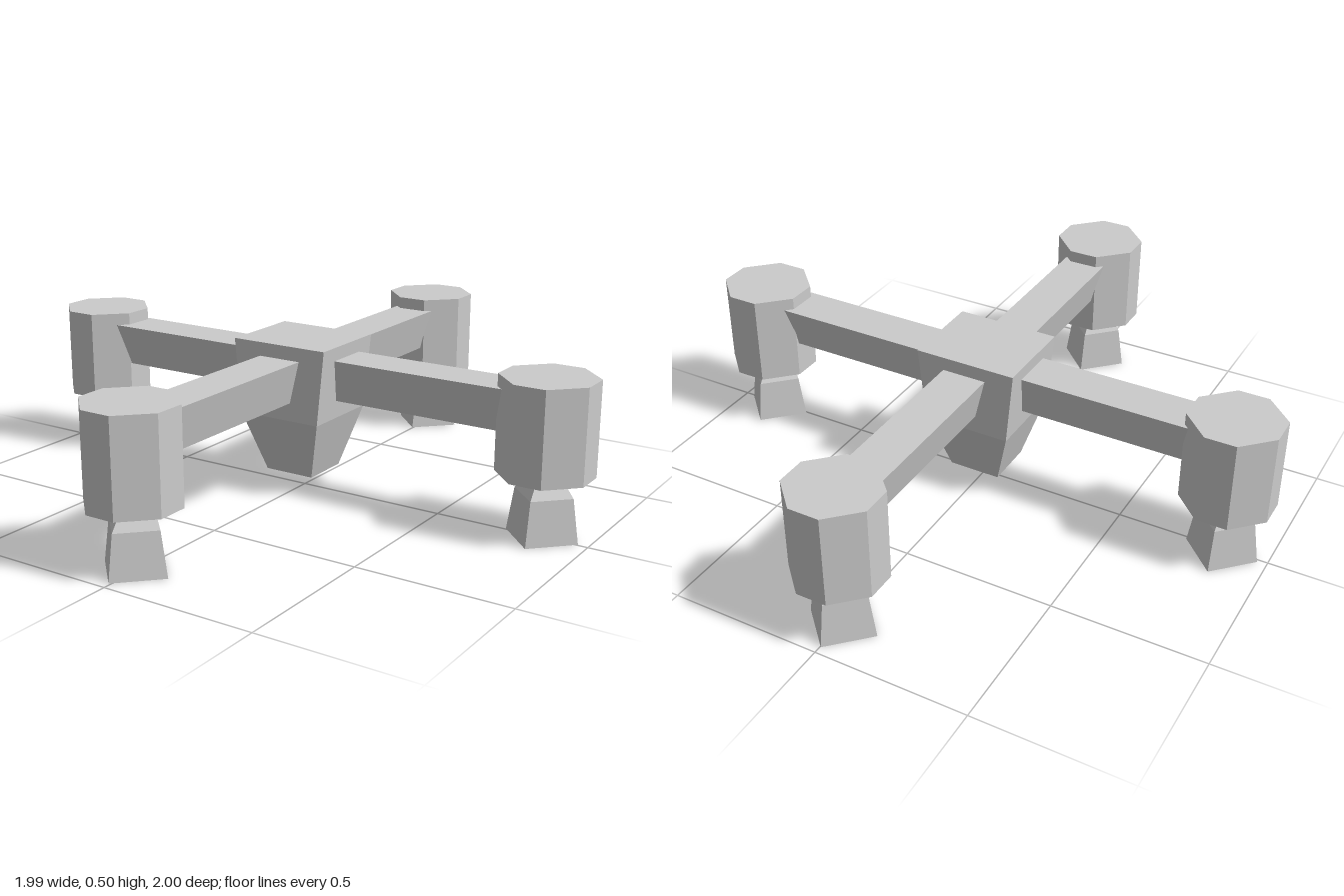
import * as THREE from 'three';

const material = new THREE.MeshStandardMaterial({ color: 0xcccccc, flatShading: true });

// Closed solid from [y, corners] sections, bottom to top; corners are [x, z]
// listed clockwise as seen from above (+x towards +z).
function loft(sections) {
  const pos = [];
  const at = (s, i) => {
    const ring = s[1];
    const [x, z] = ring[i % ring.length];
    return [x, s[0], z];
  };
  const n = sections[0][1].length;
  for (let k = 0; k + 1 < sections.length; k++) {
    for (let i = 0; i < n; i++) {
      const a = at(sections[k], i), b = at(sections[k], i + 1);
      const c = at(sections[k + 1], i + 1), d = at(sections[k + 1], i);
      pos.push(...a, ...d, ...c, ...a, ...c, ...b);
    }
  }
  const bottom = sections[0], top = sections[sections.length - 1];
  for (let i = 1; i + 1 < n; i++) {
    pos.push(...at(bottom, 0), ...at(bottom, i), ...at(bottom, i + 1));
    pos.push(...at(top, 0), ...at(top, i + 1), ...at(top, i));
  }
  const g = new THREE.BufferGeometry();
  g.setAttribute('position', new THREE.Float32BufferAttribute(pos, 3));
  g.computeVertexNormals();
  return g;
}

const rect = (x0, x1, z0, z1) => [[x0, z0], [x1, z0], [x1, z1], [x0, z1]];
const diamond = (r) => [[r, 0], [0, r], [-r, 0], [0, -r]];
const octagon = (r, f) => [
  [r, -f], [r, f], [f, r], [-f, r], [-r, f], [-r, -f], [-f, -r], [f, -r],
];

function add(parent, name, geometry) {
  const mesh = new THREE.Mesh(geometry, material);
  mesh.name = name;
  parent.add(mesh);
  return mesh;
}

export function createModel() {
  const model = new THREE.Group();
  model.name = 'crossFrame';

  // Central hub, tapering to a small base
  add(model, 'hub', loft([
    [0.06, rect(-0.095, 0.078, -0.085, 0.08)],
    [0.26, rect(-0.155, 0.137, -0.143, 0.14)],
    [0.505, rect(-0.178, 0.162, -0.145, 0.14)],
  ]));

  // Arm bar, narrower at its underside
  const profile = new THREE.Shape([
    new THREE.Vector2(-0.04, 0.32), new THREE.Vector2(0.04, 0.32),
    new THREE.Vector2(0.074, 0.46), new THREE.Vector2(-0.074, 0.46),
  ]);
  const armGeometry = new THREE.ExtrudeGeometry(profile, { depth: 0.8, bevelEnabled: false });
  const podGeometry = loft([[0.2, octagon(0.142, 0.05)], [0.5, octagon(0.142, 0.05)]]);
  const footGeometry = loft([[0, diamond(0.117)], [0.14, diamond(0.095)], [0.205, diamond(0.048)]]);

  // Four legs: arm, eight-sided pod and flared foot
  const legs = [
    ['front', -0.007, 0.857, 0],
    ['left', 0.85, -0.005, Math.PI / 2],
    ['back', -0.003, -0.858, Math.PI],
    ['right', -0.852, -0.011, -Math.PI / 2],
  ];
  for (const [side, x, z, turn] of legs) {
    const arm = add(model, side + 'Arm', armGeometry);
    arm.rotation.y = turn;
    arm.position.set(-0.005, 0, -0.004);
    const leg = new THREE.Group();
    leg.name = side + 'Leg';
    leg.position.set(x, 0, z);
    add(leg, side + 'Pod', podGeometry);
    add(leg, side + 'Foot', footGeometry);
    model.add(leg);
  }
  return model;
}
